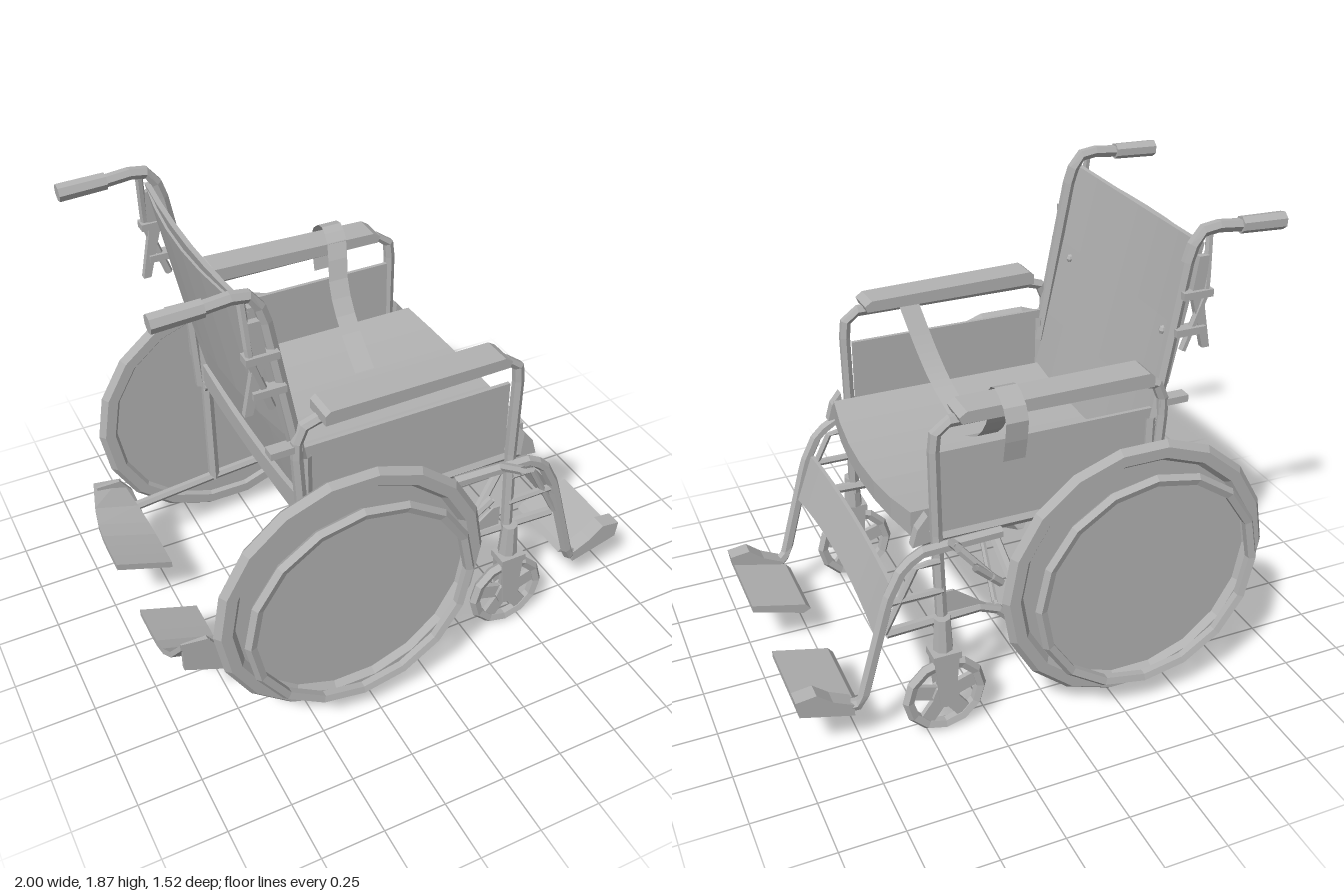
import * as THREE from 'three';

export function createModel() {
  const model = new THREE.Group();
  model.name = 'wheelchair';
  const grey = new THREE.MeshStandardMaterial({ color: 0xb2b2b2, flatShading: true, side: THREE.DoubleSide });
  grey.name = 'plain grey';

  const add = (name, geo, x = 0, y = 0, z = 0) => {
    const m = new THREE.Mesh(geo, grey);
    m.name = name;
    m.position.set(x, y, z);
    model.add(m);
    return m;
  };
  // Round tube with straight runs between points
  const tube = (name, pts, r = 0.022) => {
    const path = new THREE.CurvePath();
    const v = pts.map(p => new THREE.Vector3(...p));
    for (let i = 1; i < v.length; i++) path.add(new THREE.LineCurve3(v[i - 1], v[i]));
    return add(name, new THREE.TubeGeometry(path, (v.length - 1) * 4, r, 6, false));
  };
  // Side profile (x, y) extruded across z from z0 to z1 on side s
  const profile = (name, pts, s, z0, z1) => {
    const shape = new THREE.Shape(pts.map(p => new THREE.Vector2(...p)));
    const geo = new THREE.ExtrudeGeometry(shape, { depth: z1 - z0, bevelEnabled: false });
    return add(name, geo, 0, 0, s > 0 ? z0 : -z1);
  };
  // Box whose vertices are moved by a rule
  const bentBox = (name, size, segs, rule) => {
    const geo = new THREE.BoxGeometry(...size, ...segs);
    const p = geo.attributes.position;
    for (let i = 0; i < p.count; i++) p.setXYZ(i, ...rule(p.getX(i), p.getY(i), p.getZ(i)));
    geo.computeVertexNormals();
    return add(name, geo);
  };

  // Sagging seat with a rounded front edge
  bentBox('seat', [0.96, 0.1, 0.92], [4, 1, 6], (x, y, z) => {
    const k = 1 - (z / 0.46) ** 2;
    return [x + 0.03 + (x > 0.4 ? 0.04 * k : 0), 0.895 + y - (y > 0 ? 0.035 : 0.015) * k, z];
  });
  // Leaning backrest, and the bowed sling behind its upper part
  bentBox('backrest', [0.02, 0.94, 0.96], [1, 3, 6], (x, y, z) => {
    const t = y / 0.94 + 0.5, k = 1 - (z / 0.48) ** 2;
    return [x - 0.405 - 0.195 * t - 0.02 * k * t, 0.86 + 0.94 * t - 0.015 * k * t, z];
  });
  bentBox('backSling', [0.01, 0.52, 0.96], [1, 1, 6], (x, y, z) => {
    const k = 1 - (z / 0.48) ** 2;
    return [x - 0.55 - 0.2 * y - 0.045 * k, 1.525 + y - 0.01 * k, z];
  });
  // Calf panel between the leg hangers
  bentBox('calfPanel', [0.015, 0.2, 1.06], [1, 1, 8], (x, y, z) => {
    const k = 1 - (z / 0.53) ** 2;
    return [x + 0.64 - y * 0.35 - 0.015 * k, 0.577 + y + (y > 0 ? 0.008 : 0.045) * k, z];
  });

  // Folding cross brace
  for (const s of [1, -1]) {
    tube('crossBrace', [[0.06 + 0.03 * s, 0.29, 0.5 * s], [0.06 + 0.03 * s, 0.8, -0.48 * s]], 0.022);
    tube('braceStay', [[0.2, 0.49, 0.5 * s], [0.06, 0.53, 0]], 0.012);
  }

  for (const s of [1, -1]) {
    // Drive wheel: tyre, filled wheel face, push rim and axle
    const tyre = add('tyre', new THREE.TorusGeometry(0.511, 0.043, 6, 18), -0.32, 0.59, 0.643 * s);
    tyre.scale.z = 0.7;
    add('wheelFace', new THREE.CylinderGeometry(0.51, 0.51, 0.012, 18).rotateX(Math.PI / 2), -0.32, 0.59, 0.638 * s);
    add('pushRim', new THREE.TorusGeometry(0.445, 0.023, 5, 16), -0.325, 0.59, 0.738 * s);
    tube('axle', [[-0.32, 0.59, 0.47 * s], [-0.32, 0.59, 0.635 * s]], 0.018);

    // Caster: ring, hub, spokes and fork
    const cz = 0.555 * s;
    add('casterTyre', new THREE.TorusGeometry(0.147, 0.023, 5, 12), 0.43, 0.17, cz);
    add('casterHub', new THREE.CylinderGeometry(0.055, 0.055, 0.045, 8).rotateX(Math.PI / 2), 0.43, 0.17, cz);
    for (let i = 0; i < 5; i++) {
      const spoke = add('casterSpoke', new THREE.BoxGeometry(0.12, 0.06, 0.02).translate(0.085, 0, 0), 0.43, 0.17, cz);
      spoke.rotation.z = Math.PI / 2 + i * Math.PI * 0.4;
    }
    for (const d of [-0.038, 0.026])
      profile('forkBlade', [[0.40, 0.14], [0.46, 0.14], [0.48, 0.37], [0.38, 0.37]], s, 0.555 + d, 0.567 + d);
    add('forkCrown', new THREE.BoxGeometry(0.11, 0.03, 0.085), 0.43, 0.365, cz);
    add('casterStem', new THREE.CylinderGeometry(0.032, 0.04, 0.14, 8), 0.43, 0.45, 0.545 * s);

    // Armrest loop, running down to the caster
    const fz = 0.505 * s;
    tube('armFrame', [[-0.45, 0.82, fz], [-0.47, 1.2, fz], [-0.46, 1.27, fz], [-0.42, 1.31, fz], [0.38, 1.31, fz],
      [0.42, 1.29, fz], [0.435, 1.25, fz], [0.43, 0.85, fz], [0.425, 0.45, 0.53 * s]], 0.023);
    const pad = profile('armPad', [[-0.39, 1.32], [0.35, 1.32], [0.36, 1.345], [0.33, 1.365], [-0.37, 1.375], [-0.39, 1.36]], s, 0.45, 0.57);
    pad.rotation.y = 0.015 * s;
    add('sidePanel', new THREE.BoxGeometry(0.86, 0.33, 0.015), -0.02, 1.02, 0.485 * s);

    // Lower chassis rails and rear post
    tube('seatRail', [[-0.45, 0.83, 0.475 * s], [0.48, 0.83, 0.475 * s]], 0.025);
    tube('lowerRail', [[-0.8, 0.3, 0.48 * s], [-0.42, 0.33, 0.49 * s], [0.1, 0.36, 0.5 * s], [0.22, 0.49, 0.5 * s], [0.64, 0.49, 0.52 * s]], 0.02);
    tube('rearPost', [[-0.43, 0.32, 0.49 * s], [-0.43, 1.15, 0.49 * s]], 0.024);
    profile('gusset', [[0.24, 0.5], [0.4, 0.5], [0.4, 0.6], [0.37, 0.6]], s, 0.5, 0.51);

    // Back post with push handle
    const hz = 0.475 * s;
    tube('backPost', [[-0.43, 1.05, 0.485 * s], [-0.555, 1.77, hz], [-0.59, 1.84, hz], [-0.64, 1.855, hz], [-0.79, 1.84, hz]], 0.024);
    const grip = add('handleGrip', new THREE.CylinderGeometry(0.034, 0.032, 0.18, 7).rotateZ(Math.PI / 2), -0.845, 1.84, hz);
    grip.rotation.z = 0.04;
    tube('backStay', [[-0.63, 1.83, hz], [-0.62, 1.62, 0.5 * s], [-0.545, 1.4, 0.49 * s]], 0.015);
    profile('backBracket', [[-0.65, 1.4], [-0.62, 1.4], [-0.56, 1.62], [-0.58, 1.76], [-0.62, 1.76], [-0.61, 1.6]], s, 0.48, 0.505);
    for (const [x, y] of [[-0.58, 1.62], [-0.56, 1.48], [-0.51, 1.21]])
      add('backClamp', new THREE.BoxGeometry(0.12, 0.028, 0.05), x, y, 0.495 * s);
    add('backScrew', new THREE.SphereGeometry(0.018, 6, 4), -0.522, 1.44, 0.385 * s);

    // Swing-away leg hanger and rungs
    const lz = 0.53 * s;
    tube('legHanger', [[0.18, 0.81, 0.51 * s], [0.5, 0.815, lz], [0.57, 0.77, lz], [0.63, 0.65, lz], [0.75, 0.21, lz], [0.8, 0.185, 0.5 * s]], 0.024);
    tube('hangerRung', [[0.42, 0.63, lz], [0.63, 0.63, lz]], 0.015);
    tube('hangerStay', [[0.43, 0.76, lz], [0.52, 0.76, lz], [0.65, 0.5, lz]], 0.013);
    profile('hangerLatch', [[0.46, 0.85], [0.53, 0.84], [0.51, 0.91], [0.47, 0.96]], s, 0.49, 0.53);

    // Footplate and its outer bracket
    profile('footplate', [[0.75, 0.17], [0.78, 0.155], [0.99, 0.22], [0.99, 0.25], [0.77, 0.195]], s, 0.155, 0.47);
    profile('footplateBracket', [[0.78, 0.16], [0.99, 0.22], [1.0, 0.29], [0.92, 0.3], [0.86, 0.25], [0.78, 0.21]], s, 0.47, 0.535);

    // Curved flap at the rear of the chassis, rising to its outer edge
    bentBox('rearFlap', [0.23, 0.03, 0.37], [1, 1, 6], (x, y, z) => {
      const t = 0.5 + s * z / 0.37, rise = t ** 5;
      return [x * (1 - 0.5 * rise) - 0.88 - 0.02 * rise, 0.272 - x * 0.36 * (1 - 0.8 * rise) + y + 0.17 * rise, z + 0.325 * s];
    });
    profile('flapBracket', [[-0.95, 0.33], [-0.77, 0.25], [-0.8, 0.38], [-0.85, 0.45], [-0.95, 0.45]], s, 0.49, 0.51);

    // Wheel brake and the clip behind the side panel
    tube('brakeLever', [[0.2, 0.62, 0.56 * s], [0.31, 0.73, 0.58 * s]], 0.017);
    tube('brakeLink', [[0.24, 0.66, 0.57 * s], [0.38, 0.82, 0.52 * s], [0.4, 0.88, 0.64 * s]], 0.018);
    tube('rearClip', [[-0.45, 0.93, 0.51 * s], [-0.45, 0.93, 0.57 * s], [-0.45, 1.04, 0.575 * s]], 0.014);
  }

  // Lap strap halves: flat ribbons along a centre line
  const ribbon = (name, pts, width) => {
    const curve = new THREE.CatmullRomCurve3(pts.map(p => new THREE.Vector3(...p)));
    const pos = [], index = [], n = 14;
    for (let i = 0; i <= n; i++) {
      const p = curve.getPoint(i / n);
      pos.push(p.x - width / 2, p.y, p.z, p.x + width / 2, p.y, p.z);
      if (i < n) index.push(2 * i, 2 * i + 1, 2 * i + 2, 2 * i + 1, 2 * i + 3, 2 * i + 2);
    }
    const geo = new THREE.BufferGeometry();
    geo.setAttribute('position', new THREE.Float32BufferAttribute(pos, 3));
    geo.setIndex(index);
    geo.computeVertexNormals();
    add(name, geo);
  };
  ribbon('rightStrap', [[0.17, 1.16, -0.6], [0.17, 1.34, -0.62], [0.17, 1.41, -0.53], [0.16, 1.37, -0.45],
    [0.13, 1.21, -0.37], [0.12, 1.08, -0.26], [0.1, 0.98, -0.08]], 0.085);
  ribbon('leftStrap', [[0.17, 1.32, 0.45], [0.14, 1.16, 0.34], [0.12, 1.06, 0.24], [0.1, 0.98, 0.08]], 0.085);
  return model;
}
